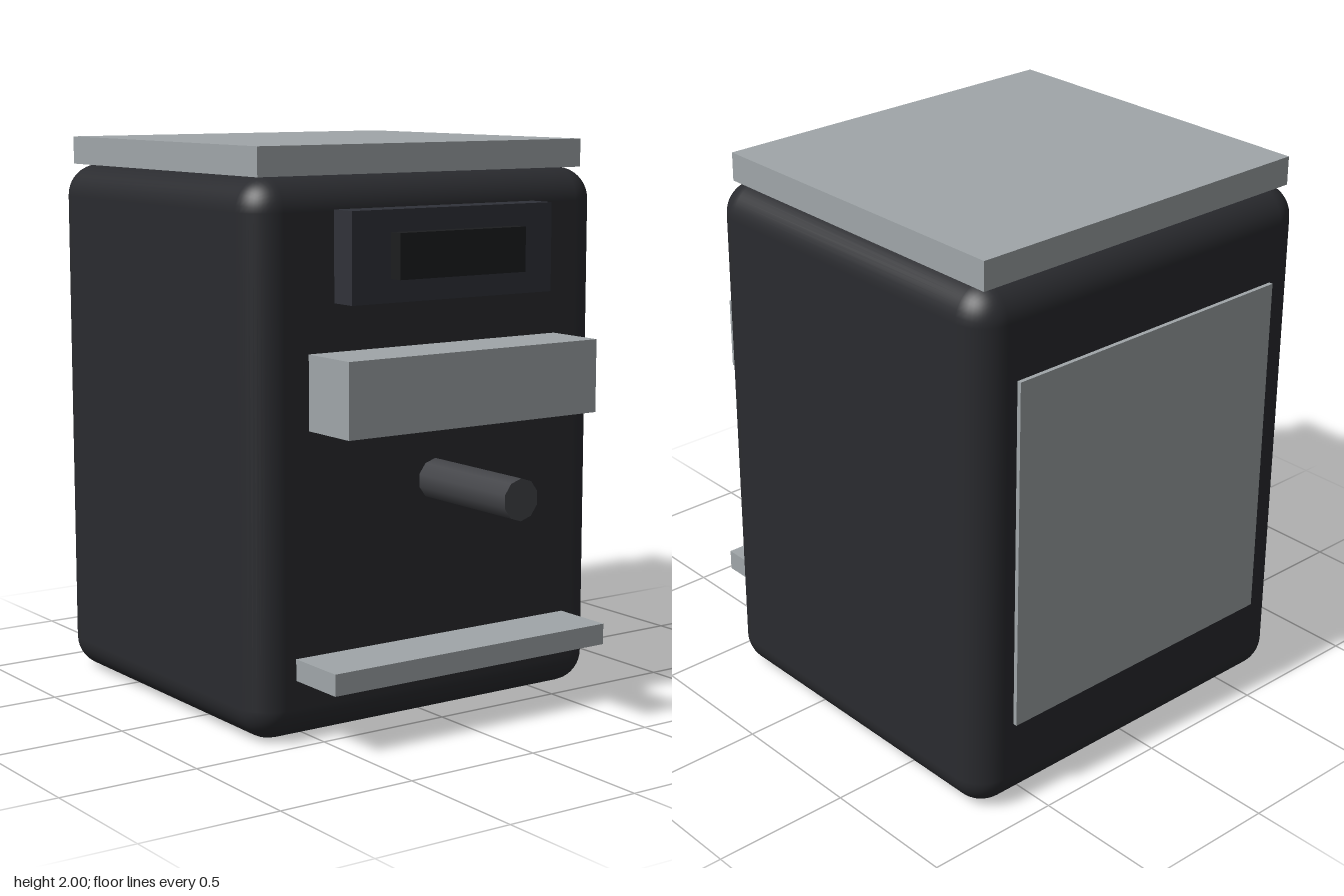
import * as THREE from 'three';
import { RoundedBoxGeometry } from 'three/addons/geometries/RoundedBoxGeometry.js';

const material = (color) => new THREE.MeshStandardMaterial({ color });

export function createModel() {
  const model = new THREE.Group();
  const shell = material(0x2a2b2f);
  const metal = material(0xa0a6a9);
  const panel = material(0x303239);
  const black = material(0x1c1d1f);
  const rod = material(0x434448);

  function add(name, geometry, mat, x, y, z) {
    const mesh = new THREE.Mesh(geometry, mat);
    mesh.name = name;
    mesh.position.set(x, y, z);
    model.add(mesh);
    return mesh;
  }

  // Box centred on x, given its width and its y and z limits
  function box(name, mat, width, y0, y1, z0, z1) {
    add(name, new THREE.BoxGeometry(width, y1 - y0, z1 - z0), mat, 0, (y0 + y1) / 2, (z0 + z1) / 2);
  }

  // Rounded housing
  add('housing', new RoundedBoxGeometry(1.47, 1.9, 1.36, 5, 0.115), shell, 0, 0.95, -0.227);

  // Lid and rear service panel
  box('lid', metal, 1.37, 1.9, 2.0, -0.868, 0.397);
  box('rearPanel', metal, 1.16, 0.32, 1.585, -0.922, -0.88);

  // Control panel with its screen
  box('controlPanel', panel, 0.845, 1.48, 1.79, 0.4, 0.555);
  box('screen', black, 0.53, 1.56, 1.715, 0.5, 0.608);

  // Front bar and lower tray
  box('frontBar', metal, 1.05, 1.06, 1.317, 0.4, 0.685);
  box('tray', metal, 1.16, 0.215, 0.29, 0.4, 0.685);

  // Spout rod pointing forward
  const spout = add('spout', new THREE.CylinderGeometry(0.072, 0.072, 0.525, 10), rod, 0, 0.845, 0.66);
  spout.rotation.x = Math.PI / 2;

  return model;
}
